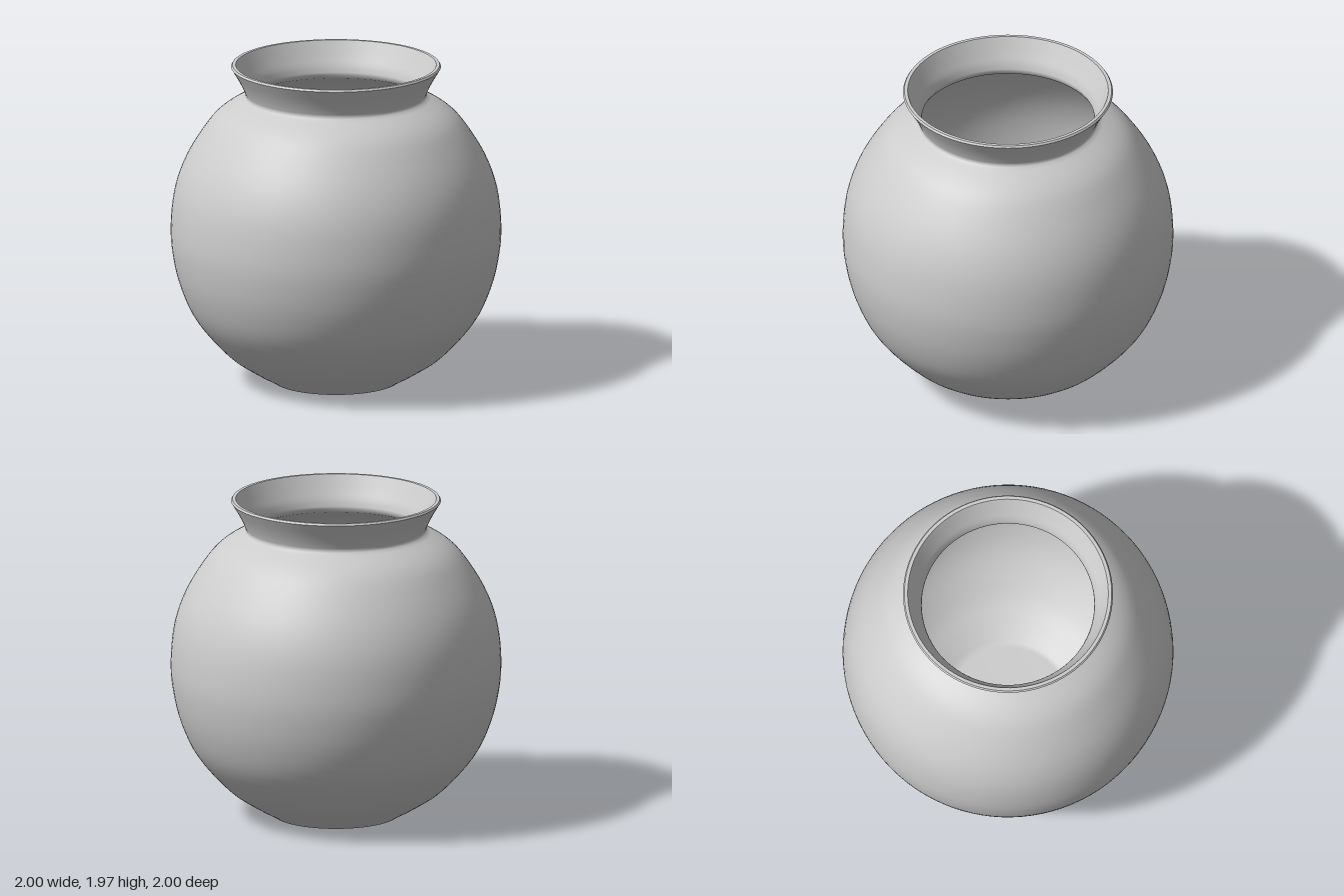
import * as THREE from 'three';

const SEGMENTS = 96;

// [radius, height] control points, listed from bottom to top
const BODY = [
  [0.40, 0.025], [0.53, 0.10], [0.67, 0.20], [0.845, 0.40], [0.94, 0.60], [0.988, 0.80],
  [1.0, 0.98], [0.976, 1.20], [0.905, 1.40], [0.78, 1.60], [0.68, 1.70], [0.55, 1.775],
];
const NECK = [[0.545, 1.79], [0.56, 1.83], [0.59, 1.89], [0.635, 1.965]];
const WALL = 0.025;

const vec = ([r, y]) => new THREE.Vector2(r, y);
const smooth = (pts, n) => new THREE.SplineCurve(pts.map(vec)).getPoints(n);

export function createModel() {
  const group = new THREE.Group();
  group.name = 'pot';
  const clay = new THREE.MeshStandardMaterial({ color: 0xcccccc });
  clay.name = 'pale grey clay';

  const addLathe = (name, profile) => {
    const mesh = new THREE.Mesh(new THREE.LatheGeometry(profile, SEGMENTS), clay);
    mesh.name = name;
    group.add(mesh);
  };

  // Outer shell: softened foot, round belly and flared neck
  addLathe('outerShell', [
    ...[[0, 0.005], [0.35, 0.006], [0.38, 0.012]].map(vec),
    ...smooth(BODY, 44),
    ...smooth(NECK, 8),
  ]);

  // Narrow bevel and flat lip around the mouth
  addLathe('rimBevel', [[0.635, 1.965], [0.627, 1.977]].map(vec));
  addLathe('rimLip', [[0.627, 1.977], [0.607, 1.977]].map(vec));

  // Inside of the flared neck, down to the throat
  const throat = [0.522, 1.78];
  const innerNeck = [[0.607, 1.977], [0.565, 1.89], [0.535, 1.83], throat];

  // Inside of the belly, inset by the wall thickness, ending in a flat floor
  const innerBelly = BODY.slice(1, -1).reverse().map(([r, y]) => [r - WALL, y + (y < 0.9 ? 0.01 : -0.01)]);
  addLathe('innerShell', [
    ...smooth(innerNeck, 8),
    ...smooth([[0.535, 1.757], ...innerBelly, [0.39, 0.04]], 44),
    ...[[0.36, 0.032], [0, 0.03]].map(vec),
  ]);

  return group;
}
